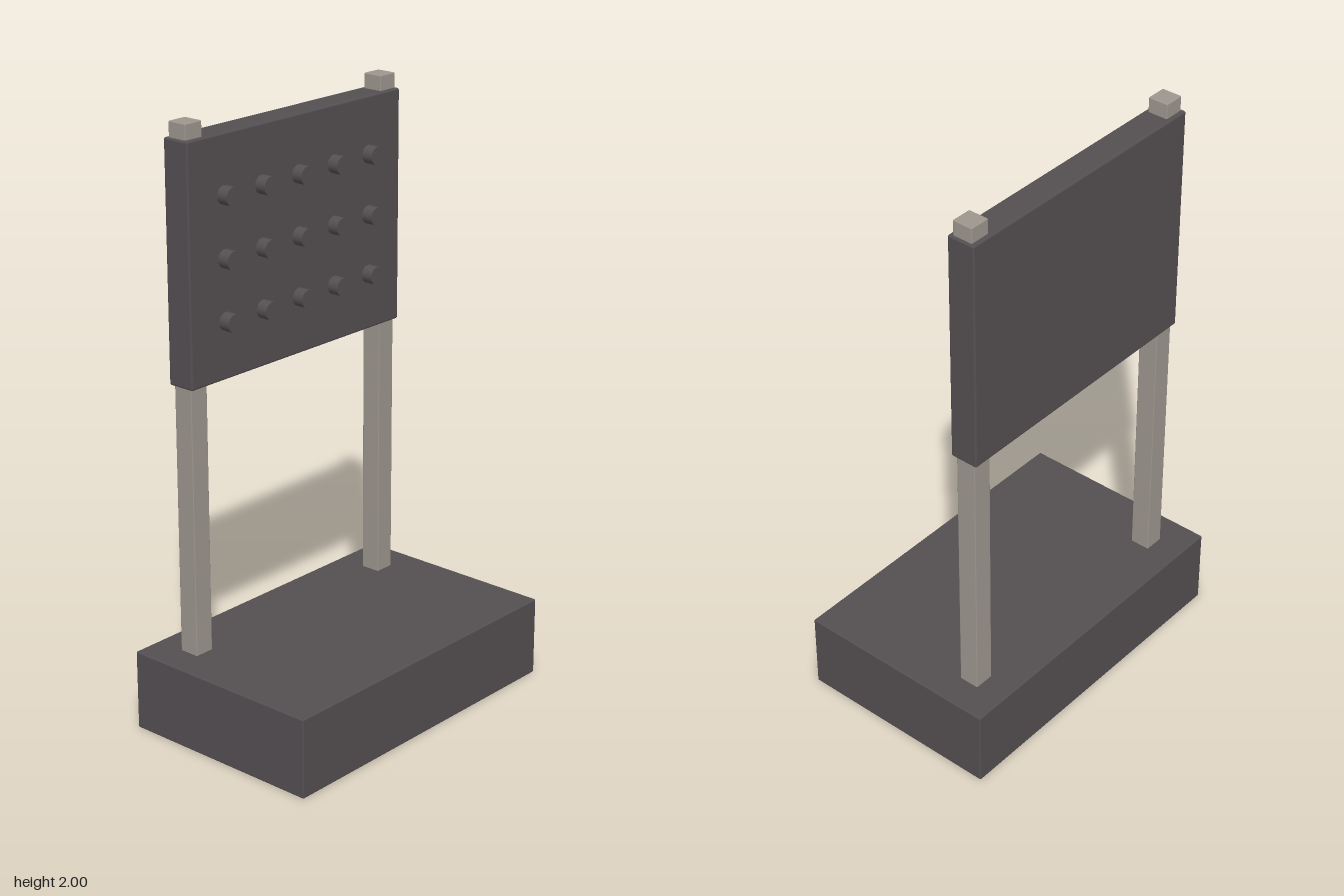
import * as THREE from 'three';
import { RoundedBoxGeometry } from 'three/addons/geometries/RoundedBoxGeometry.js';

const darkGrey = new THREE.MeshStandardMaterial({ name: 'darkGrey', color: 0x544f52 });
const warmGrey = new THREE.MeshStandardMaterial({ name: 'warmGrey', color: 0x9d968e });

// Box with slightly softened edges, placed by its centre
function softBox(name, size, position, edge, material) {
  const mesh = new THREE.Mesh(new RoundedBoxGeometry(...size, 2, edge), material);
  mesh.name = name;
  mesh.position.set(...position);
  return mesh;
}

export function createModel() {
  const model = new THREE.Group();
  model.name = 'pegBoardStand';

  // Heavy base block
  model.add(softBox('base', [1.166, 0.27, 0.72], [0, 0.135, 0], 0.005, darkGrey));

  // Two square posts, passing through the board and showing above it
  for (const side of [-1, 1]) {
    model.add(softBox(side > 0 ? 'leftPost' : 'rightPost',
      [0.07, 1.8, 0.07], [side * 0.444, 1.1, -0.224], 0.003, warmGrey));
  }

  // Upright board
  model.add(softBox('board', [0.976, 0.78, 0.098], [0, 1.56, -0.224], 0.007, darkGrey));

  // Grid of round pegs on the front of the board
  const pegs = new THREE.Group();
  pegs.name = 'pegs';
  const pegGeometry = new THREE.CylinderGeometry(0.03, 0.03, 0.06, 24).rotateX(Math.PI / 2);
  for (let row = 0; row < 3; row++) {
    for (let column = 0; column < 5; column++) {
      const peg = new THREE.Mesh(pegGeometry, darkGrey);
      peg.name = 'peg';
      peg.position.set((column - 2) * 0.167, 1.36 + row * 0.2, -0.165);
      pegs.add(peg);
    }
  }
  model.add(pegs);

  return model;
}
